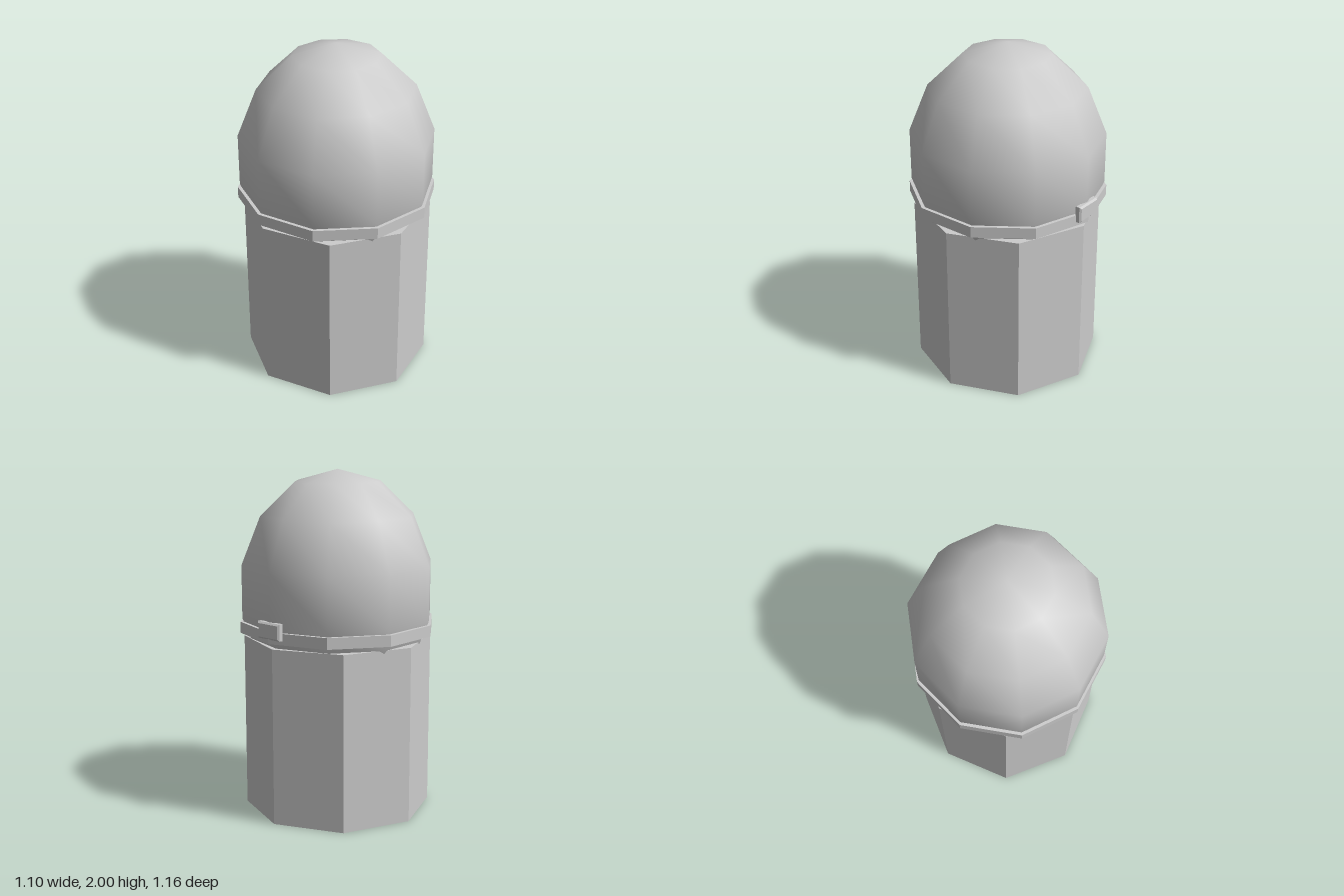
import * as THREE from 'three';

export function createModel() {
  const group = new THREE.Group();
  const grey = new THREE.MeshStandardMaterial({ color: 0xcccccc });
  grey.name = 'lightGrey';

  const add = (name, geometry, y, z = 0) => {
    const mesh = new THREE.Mesh(geometry, grey);
    mesh.name = name;
    mesh.position.set(0, y, z);
    group.add(mesh);
    return mesh;
  };

  // Hard-edged prism with a corner facing the front
  const prism = (radius, height, sides) => {
    const geometry = new THREE.CylinderGeometry(radius, radius, height, sides).toNonIndexed();
    geometry.computeVertexNormals();
    return geometry;
  };

  // Eight-sided tower
  add('tower', prism(0.55, 1.03, 8), 0.515);

  // Smooth ten-sided dome, stretched upwards, its lower part sunk in the tower
  const dome = new THREE.SphereGeometry(0.58, 10, 7);
  dome.rotateY(Math.PI / 2);
  dome.scale(1, 0.695 / 0.58, 1);
  add('dome', dome, 1.305);

  // Flat collar under the dome
  add('collar', prism(0.578, 0.065, 10), 1.098);

  // Small bevelled latch at the back
  const bevel = 0.01;
  const w = 0.083 - bevel, h = 0.048 - bevel;
  const outline = new THREE.Shape();
  outline.moveTo(-w, -h);
  outline.lineTo(w, -h);
  outline.lineTo(w, h);
  outline.lineTo(-w, h);
  outline.closePath();
  const latch = new THREE.ExtrudeGeometry(outline, {
    depth: 0.022, bevelEnabled: true, bevelSize: bevel, bevelThickness: bevel, bevelSegments: 1,
  });
  latch.translate(0, 0, -0.011);
  add('latch', latch, 1.138, -0.561);

  return group;
}
